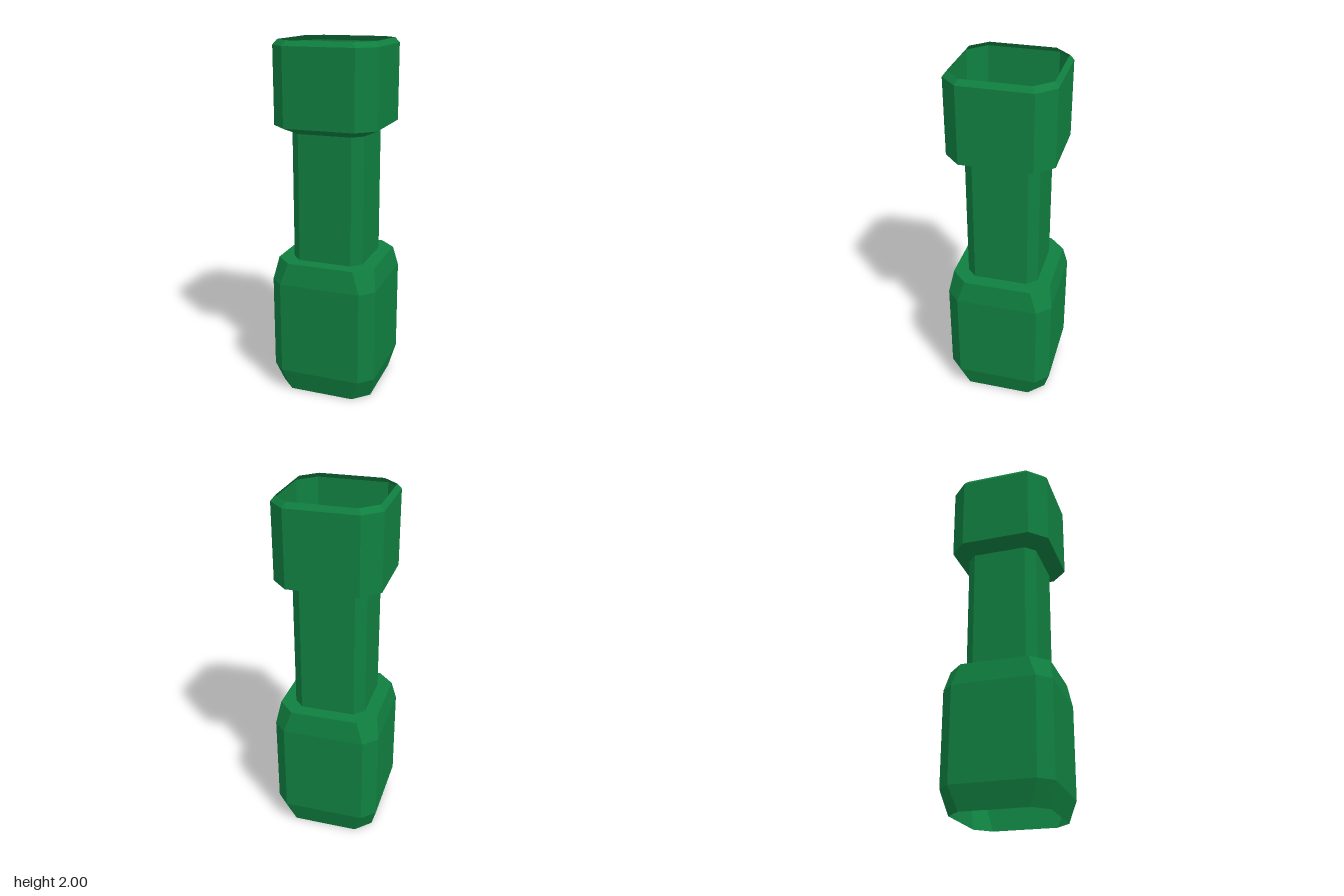
import * as THREE from 'three';

// Square ring with cut corners: half = half width, flat = half length of each straight side
function ring([y, half, flat]) {
  const points = [];
  for (let i = 0; i < 4; i++) {
    const c = Math.round(Math.cos(i * Math.PI / 2));
    const s = Math.round(Math.sin(i * Math.PI / 2));
    for (const [x, z] of [[half, -flat], [half, flat]]) {
      points.push([x * c - z * s, y, x * s + z * c]);
    }
  }
  return points;
}

// Open faceted shell through a stack of rings, from bottom to top
function shell(name, sections, material) {
  const rings = sections.map(ring);
  const positions = [];
  for (let r = 0; r < rings.length - 1; r++) {
    for (let i = 0; i < 8; i++) {
      const j = (i + 1) % 8;
      const a = rings[r][i], b = rings[r][j];
      const c = rings[r + 1][j], d = rings[r + 1][i];
      positions.push(...a, ...d, ...c, ...a, ...c, ...b);
    }
  }
  const geometry = new THREE.BufferGeometry();
  geometry.setAttribute('position', new THREE.Float32BufferAttribute(positions, 3));
  geometry.computeVertexNormals();
  const mesh = new THREE.Mesh(geometry, material);
  mesh.name = name;
  return mesh;
}

export function createModel() {
  const model = new THREE.Group();
  model.name = 'hollowPost';
  const green = new THREE.MeshStandardMaterial({
    color: 0x108040, flatShading: true, side: THREE.DoubleSide,
  });

  // Wide base, open below, with a flat shelf running in to the neck
  model.add(shell('base', [
    [0, 0.27, 0.185],
    [0.13, 0.305, 0.232],
    [0.665, 0.305, 0.232],
    [0.787, 0.283, 0.19],
    [0.787, 0.205, 0.152],
  ], green));

  // Narrow neck
  model.add(shell('neck', [
    [0.787, 0.205, 0.152],
    [1.507, 0.205, 0.152],
  ], green));

  // Open collar with a sloped floor and a bevelled rim
  model.add(shell('collar', [
    [1.507, 0.205, 0.152],
    [1.547, 0.292, 0.198],
    [1.972, 0.292, 0.198],
    [2, 0.27, 0.183],
  ], green));

  return model;
}
